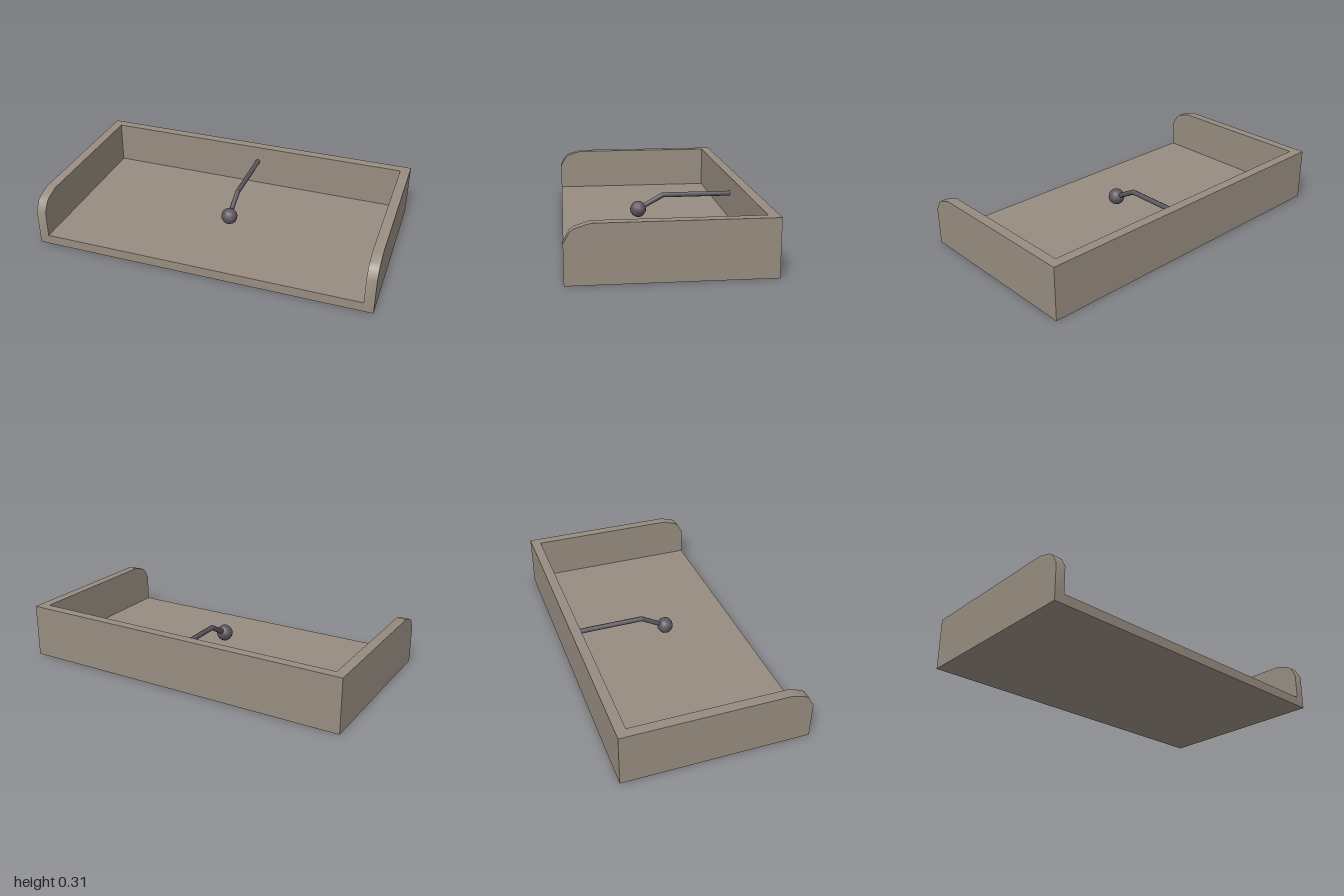
import * as THREE from 'three';
import { toCreasedNormals } from 'three/addons/utils/BufferGeometryUtils.js';

const W = 1, D = 0.535, H = 0.312, T = 0.057; // half width, half depth, height, wall thickness

export function createModel() {
  const model = new THREE.Group();
  const trayMat = new THREE.MeshStandardMaterial({ color: 0x978c80 });
  trayMat.name = 'warm grey tray';
  const metalMat = new THREE.MeshStandardMaterial({ color: 0x5c565d });
  metalMat.name = 'dark metal';

  const add = (name, geometry, material, x = 0, y = 0, z = 0) => {
    const mesh = new THREE.Mesh(geometry, material);
    mesh.name = name;
    mesh.position.set(x, y, z);
    model.add(mesh);
    return mesh;
  };

  // Floor and back wall, fitted between the side walls
  const inner = 2 * (W - T);
  add('floor', new THREE.BoxGeometry(inner, T, 2 * D), trayMat, 0, T / 2, 0);
  add('backWall', new THREE.BoxGeometry(inner, H - T, T), trayMat, 0, (H + T) / 2, -D + T / 2);

  // Side walls with a rounded upper front corner; profile is (z, y)
  const profile = [[-D, 0], [D, 0], [D, 0.213], [0.503, 0.27], [0.481, 0.287], [0.4, H], [-D, H]];
  const shape = new THREE.Shape(profile.map(([z, y]) => new THREE.Vector2(-z, y)).reverse());
  const extruded = new THREE.ExtrudeGeometry(shape, { depth: T, bevelEnabled: false });
  extruded.rotateY(Math.PI / 2);
  const sideGeometry = toCreasedNormals(extruded, 0.65);
  add('leftWall', sideGeometry, trayMat, W - T);
  add('rightWall', sideGeometry, trayMat, -W);

  // Bent rod from the back wall to the ball
  const rodX = 0.033, r = 0.015;
  const path = [
    new THREE.Vector3(rodX, 0.211, -D + T - 0.005),
    new THREE.Vector3(rodX, 0.211, -0.07),
    new THREE.Vector3(rodX, 0.128, 0.08),
  ];
  const up = new THREE.Vector3(0, 1, 0);
  ['rodArm', 'rodTip'].forEach((name, i) => {
    const a = path[i], b = path[i + 1];
    const dir = b.clone().sub(a);
    const mid = a.clone().add(b).multiplyScalar(0.5);
    const rod = add(name, new THREE.CylinderGeometry(r, r, dir.length(), 8), metalMat, mid.x, mid.y, mid.z);
    rod.quaternion.setFromUnitVectors(up, dir.normalize());
  });
  add('rodElbow', new THREE.SphereGeometry(r, 8, 6), metalMat, path[1].x, path[1].y, path[1].z);
  add('ball', new THREE.SphereGeometry(0.049, 12, 8), metalMat, path[2].x, path[2].y, path[2].z);

  // The extrusion runs along +x and its profile is mirrored, so z already faces the front
  return model;
}
